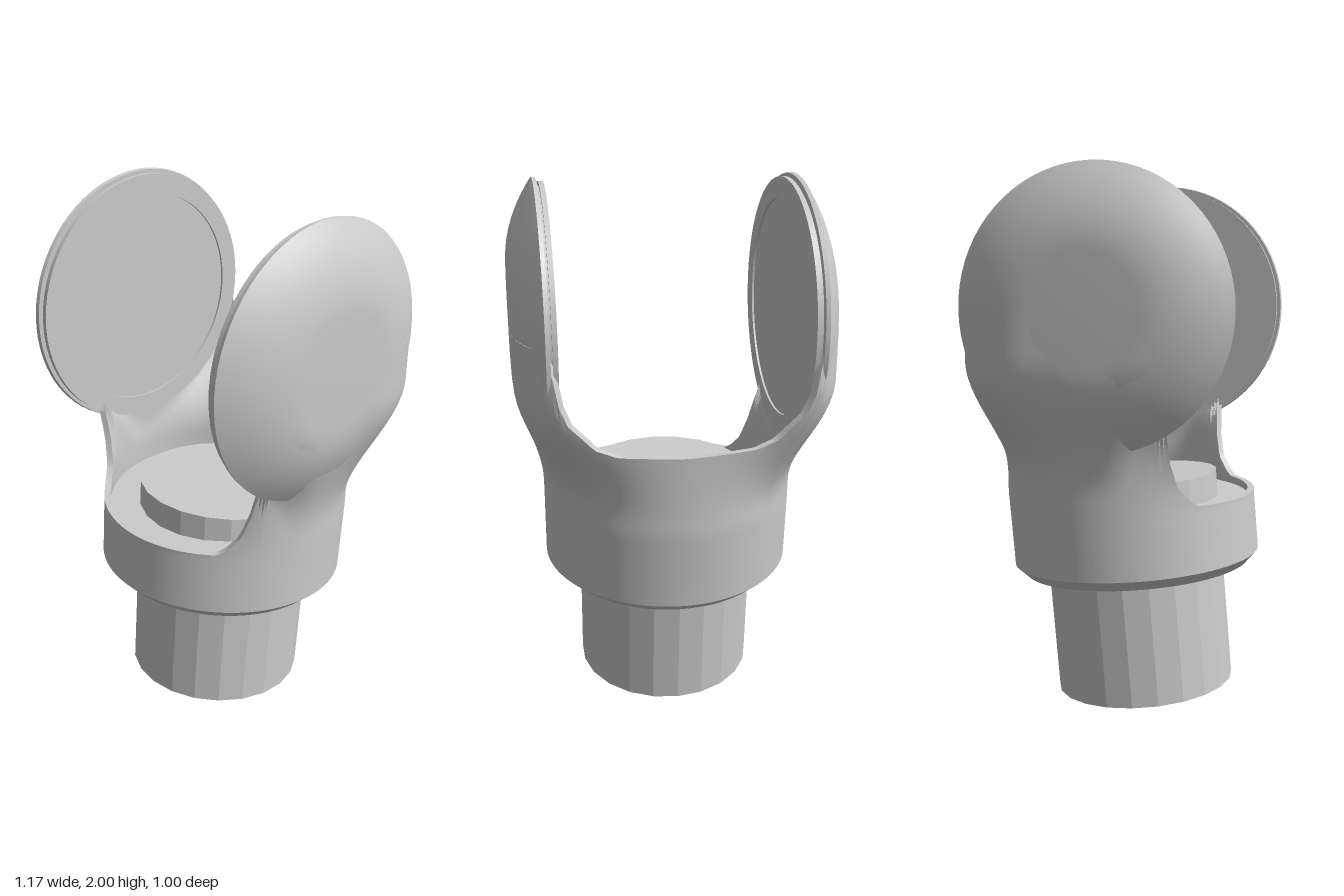
import * as THREE from 'three';
import { toCreasedNormals } from 'three/addons/utils/BufferGeometryUtils.js';

const { smoothstep, lerp, degToRad } = THREE.MathUtils;
const TILT = 0.087;        // lean of peg and collar
const PIVOT_Y = 1.5;       // centre height of the round pads
const COLS = 240, ROWS = 26;

// Half width of a pad's domed outside at distance d from its centre
const dome = (d) => 0.583 - 0.105 * (Math.max(0, Math.min(d, 0.5) - 0.2) / 0.3) ** 2;

// Height of the shell's edge by angle from the front (degrees): notch, arms, back rim
const RIM = [[0, 0.81], [43, 0.81], [47, 0.83], [53, 0.88], [57, 0.97], [60, 1.1], [62, 1.25],
  [64, PIVOT_Y], [134.5, PIVOT_Y], [136.5, 1.4], [139, 1.25], [145, 1.14], [152, 1.11], [180, 1.1]];
function rimHeight(deg) {
  const i = Math.max(1, RIM.findIndex((p) => p[0] >= deg));
  const [a, ya] = RIM[i - 1], [b, yb] = RIM[i];
  return lerp(ya, yb, (deg - a) / (b - a));
}

// Outer radius: a circle at the collar, growing into domed sides and a flat back
function outerRadius(deg, y) {
  const s = Math.max(Math.sin(degToRad(deg)), 0.05), c = Math.cos(degToRad(deg));
  const k = 1 - smoothstep(deg, 62, 92);
  const dy = PIVOT_Y - y;
  let r = 0.58;
  for (let i = 0; i < 16; i++) r = (r + dome(Math.sqrt((r * c) ** 2 + k * dy * dy)) / s) / 2;
  const back = Math.max(-c, 0) / 0.497;
  r = ((1 / r) ** 20 + back ** 20) ** (-1 / 20);
  return lerp(0.48, r, smoothstep(y, 0.85, 1.32));
}

// One closed column of the shell: underside, chamfer, outside, edge, inside, floor
function column(theta) {
  const deg = Math.abs(theta), rad = degToRad(theta);
  const s = Math.sin(rad), c = Math.cos(rad);
  const put = (r, y) => [r * s, y, r * c + TILT * Math.max(0, 0.8 - y)];
  const base = (r) => 0.503 + 0.075 * r * c;
  const inner = (y) => Math.min(outerRadius(deg, y) - 0.025, 0.465 / Math.max(Math.abs(s), 0.05));
  const top = rimHeight(deg), low = base(0.48) + 0.04, floor = 0.78;
  const pts = [put(0.3, base(0.3)), put(0.44, base(0.44))];
  for (let j = 0; j <= ROWS; j++) {
    const y = lerp(low, top, j / ROWS);
    pts.push(put(outerRadius(deg, y), y));
  }
  for (let j = 0; j <= ROWS; j++) {
    const y = lerp(top, floor, j / ROWS);
    pts.push(put(inner(y), y));
  }
  pts.push(put(0.2, floor));
  return pts;
}

function shellGeometry() {
  const pos = [], index = [];
  let n = 0;
  for (let i = 0; i <= COLS; i++) {
    const pts = column(-180 + (360 * i) / COLS);
    n = pts.length;
    pts.forEach((p) => pos.push(...p));
  }
  for (let i = 0; i < COLS; i++) {
    for (let j = 0; j < n - 1; j++) {
      const a = i * n + j, b = a + n;
      index.push(a, b, b + 1, a, b + 1, a + 1);
    }
  }
  const geo = new THREE.BufferGeometry();
  geo.setAttribute('position', new THREE.Float32BufferAttribute(pos, 3));
  geo.setIndex(index);
  return toCreasedNormals(geo, 0.6);
}

// Round pad: shallow recess and grooved rim inside, domed outside, axis along +x
function padGeometry() {
  const profile = [[0, 0.445], [0.41, 0.445], [0.41, 0.437], [0.485, 0.437], [0.485, 0.455],
    [0.472, 0.455], [0.472, 0.463], [0.497, 0.463]];
  for (let i = 0; i <= 10; i++) {
    const d = lerp(0.5, 0.2, i / 10);
    profile.push([d, dome(d)]);
  }
  profile.push([0, dome(0)]);
  const geo = new THREE.LatheGeometry(profile.map(([x, y]) => new THREE.Vector2(x, y)), 72);
  geo.rotateZ(-Math.PI / 2);
  return toCreasedNormals(geo, 0.5);
}

export function createModel() {
  const model = new THREE.Group();
  model.name = 'forkJoint';
  const smooth = new THREE.MeshStandardMaterial({ color: 0xcccccc });
  const flat = new THREE.MeshStandardMaterial({ color: 0xcccccc, flatShading: true });
  const add = (name, geo, mat) => {
    const mesh = new THREE.Mesh(geo, mat);
    mesh.name = name;
    model.add(mesh);
    return mesh;
  };

  // Collar and fork in one shell
  add('forkShell', shellGeometry(), smooth);

  // Round pads at the ends of the fork
  const pad = padGeometry();
  for (const side of [1, -1]) {
    const mesh = add(side > 0 ? 'leftPad' : 'rightPad', pad, smooth);
    mesh.position.set(0, PIVOT_Y, 0.005);
    if (side < 0) mesh.rotation.y = Math.PI;
  }

  // Leaning peg through the collar
  const peg = add('peg', new THREE.CylinderGeometry(0.345, 0.345, 0.824, 22), flat);
  peg.position.set(0, 0.441, 0.024);
  peg.rotation.x = -TILT;

  return model;
}
